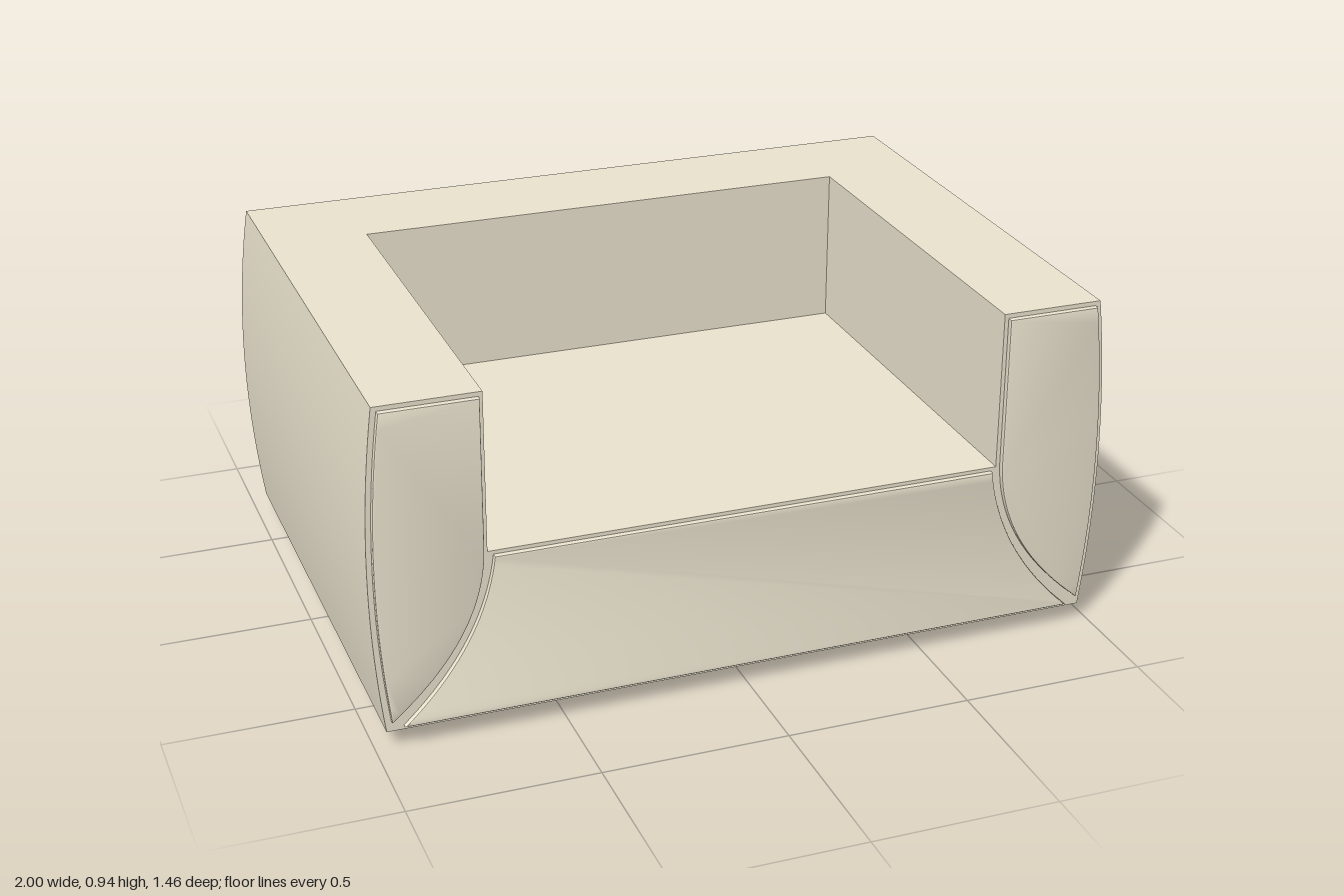
import * as THREE from 'three';
import { toCreasedNormals } from 'three/addons/utils/BufferGeometryUtils.js';

const BOTTOM = 0.05, TOP = 0.942, SEAT = 0.51;
const FRONT = 0.715, WELL_X = 0.695, WELL_Z = -0.405;

export function createModel() {
  const group = new THREE.Group();
  const fabric = new THREE.MeshStandardMaterial({ color: 0xece5d0 });
  const grey = new THREE.MeshStandardMaterial({ color: 0xcccccc });

  const add = (name, geometry, material) => {
    const mesh = new THREE.Mesh(geometry, material);
    mesh.name = name;
    group.add(mesh);
    return mesh;
  };
  // box given by its limits on each axis
  const box = (x0, x1, y0, y1, z0, z1) =>
    new THREE.BoxGeometry(x1 - x0, y1 - y0, z1 - z0)
      .translate((x0 + x1) / 2, (y0 + y1) / 2, (z0 + z1) / 2);

  // U-shaped arms and back, with outer walls bulging at mid height
  const plan = new THREE.Shape([
    [-0.97, -FRONT], [-WELL_X, -FRONT], [-WELL_X, -WELL_Z], [WELL_X, -WELL_Z],
    [WELL_X, -FRONT], [0.97, -FRONT], [0.97, 0.702], [-0.97, 0.702],
  ].map(([x, y]) => new THREE.Vector2(x, y)));
  let shell = new THREE.ExtrudeGeometry(plan, { depth: TOP - BOTTOM, steps: 20, bevelEnabled: false });
  shell.rotateX(-Math.PI / 2).translate(0, BOTTOM, 0);
  const p = shell.attributes.position;
  for (let i = 0; i < p.count; i++) {
    const t = (2 * (p.getY(i) - BOTTOM)) / (TOP - BOTTOM) - 1;
    const bulge = 0.03 * (1 - t * t);
    const x = p.getX(i), z = p.getZ(i);
    if (Math.abs(x) > 0.9) p.setX(i, x + Math.sign(x) * bulge);
    if (z < -0.6) p.setZ(i, z - bulge);
  }
  add('armsAndBack', toCreasedNormals(shell, 0.5), fabric);

  // seat block filling the well
  add('seat', box(-WELL_X, WELL_X, BOTTOM, SEAT, WELL_Z, FRONT), fabric);

  // plinth underneath
  add('plinth', box(-0.82, 0.82, 0, BOTTOM, -0.552, 0.588), grey);

  // thin raised panels on the front, with a small softened edge
  const bevel = 0.004;
  const panel = (shape) => toCreasedNormals(new THREE.ExtrudeGeometry(shape, {
    depth: 0.012, curveSegments: 20, bevelThickness: bevel, bevelSize: bevel,
    bevelOffset: -bevel, bevelSegments: 2,
  }).translate(0, 0, FRONT - 0.001), 0.6);

  for (const [name, s] of [['leftArmPanel', 1], ['rightArmPanel', -1]]) {
    const shape = new THREE.Shape();
    shape.moveTo(s * 0.706, 0.93);
    shape.lineTo(s * 0.706, 0.52);
    shape.quadraticCurveTo(s * 0.71, 0.28, s * 0.957, 0.08);
    shape.quadraticCurveTo(s * 1.015, 0.505, s * 0.957, 0.93);
    shape.closePath();
    add(name, panel(shape), fabric);
  }

  const seatShape = new THREE.Shape();
  seatShape.moveTo(-0.925, 0.062);
  seatShape.lineTo(0.925, 0.062);
  seatShape.quadraticCurveTo(0.71, 0.26, 0.68, 0.5);
  seatShape.lineTo(-0.68, 0.5);
  seatShape.quadraticCurveTo(-0.71, 0.26, -0.925, 0.062);
  add('seatPanel', panel(seatShape), fabric);

  return group;
}
